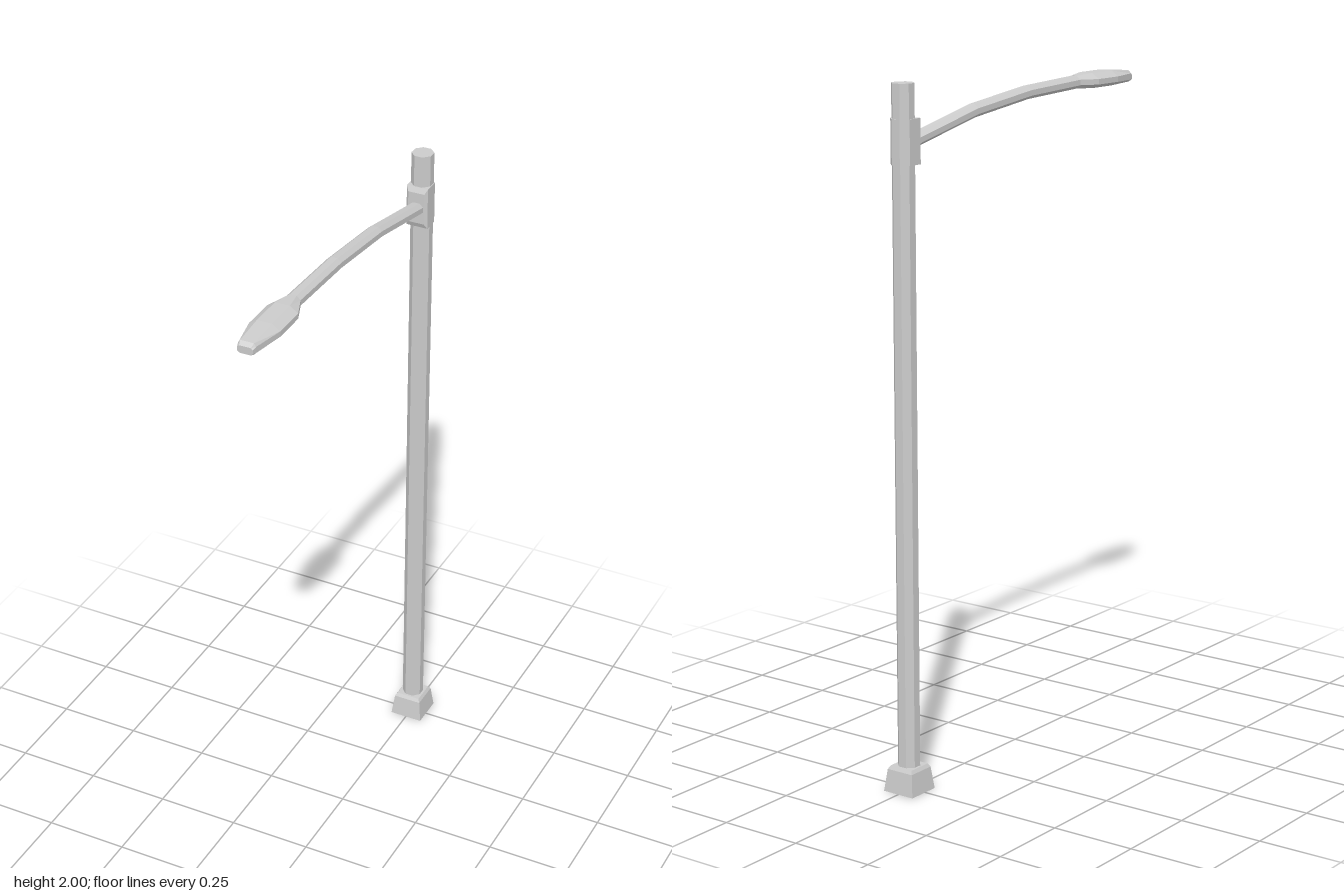
import * as THREE from 'three';

const POLE_Z = -0.507;
const material = new THREE.MeshStandardMaterial({ color: 0xcccccc, flatShading: true });

function addMesh(parent, name, geometry, x = 0, y = 0, z = 0) {
  const mesh = new THREE.Mesh(geometry, material);
  mesh.name = name;
  mesh.position.set(x, y, z);
  parent.add(mesh);
  return mesh;
}

// Prism or frustum with flat sides facing the axes; sizes are half widths.
function prism(sides, topHalf, bottomHalf, height) {
  const k = 1 / Math.cos(Math.PI / sides);
  return new THREE.CylinderGeometry(topHalf * k, bottomHalf * k, height, sides)
    .rotateY(Math.PI / sides)
    .translate(0, height / 2, 0);
}

// Eight-sided cross-section, anticlockwise seen from +z.
function section({ z, w, inner, bottom, low, high, top }) {
  return [[w, low], [w, high], [inner, top], [-inner, top],
    [-w, high], [-w, low], [-inner, bottom], [inner, bottom]]
    .map(([x, y]) => [x, y, z]);
}

// Skin over successive sections running toward +z, capped at both ends.
function loft(rings) {
  const pos = [];
  const n = rings[0].length;
  const tri = (a, b, c) => pos.push(...a, ...b, ...c);
  for (let i = 0; i < rings.length - 1; i++) {
    for (let j = 0; j < n; j++) {
      const k = (j + 1) % n;
      const [a, b, c, d] = [rings[i][j], rings[i][k], rings[i + 1][k], rings[i + 1][j]];
      tri(a, b, c);
      tri(a, c, d);
    }
  }
  const first = rings[0], last = rings[rings.length - 1];
  for (let j = 1; j < n - 1; j++) {
    tri(first[0], first[j + 1], first[j]);
    tri(last[0], last[j], last[j + 1]);
  }
  const geometry = new THREE.BufferGeometry();
  geometry.setAttribute('position', new THREE.Float32BufferAttribute(pos, 3));
  geometry.computeVertexNormals();
  return geometry;
}

export function createModel() {
  const group = new THREE.Group();
  group.name = 'streetLamp';

  // Tapered square foot with a bevelled top edge
  addMesh(group, 'base', prism(4, 0.043, 0.051, 0.065), 0, 0, POLE_Z);
  addMesh(group, 'baseBevel', prism(4, 0.037, 0.043, 0.01), 0, 0.065, POLE_Z);

  // Octagonal pole
  addMesh(group, 'pole', prism(8, 0.03, 0.03, 1.94), 0, 0.06, POLE_Z);

  // Sleeve round the pole with a bevelled bracket facing the arm
  addMesh(group, 'collar', prism(8, 0.033, 0.033, 0.125), 0, 1.78, POLE_Z);
  const bracket = [[-0.507, 0.033, 1.78, 1.905], [-0.474, 0.033, 1.78, 1.905],
    [-0.467, 0.025, 1.795, 1.89]]
    .map(([z, w, y0, y1]) => [[w, y0, z], [w, y1, z], [-w, y1, z], [-w, y0, z]]);
  addMesh(group, 'bracket', loft(bracket));

  // Arched octagonal arm: z and centre height of each section
  const arm = [[-0.48, 1.838], [-0.2, 1.895], [0.05, 1.922], [0.3, 1.93]]
    .map(([z, y]) => section({
      z, w: 0.022, inner: 0.01,
      bottom: y - 0.018, low: y - 0.008, high: y + 0.008, top: y + 0.018,
    }));
  addMesh(group, 'arm', loft(arm));

  // Lamp head, widening from the arm and tapering to a blunt tip
  const head = [
    { z: 0.29, w: 0.022, inner: 0.01, bottom: 1.912, low: 1.922, high: 1.938, top: 1.948 },
    { z: 0.35, w: 0.046, inner: 0.022, bottom: 1.908, low: 1.92, high: 1.936, top: 1.952 },
    { z: 0.45, w: 0.046, inner: 0.022, bottom: 1.907, low: 1.919, high: 1.935, top: 1.951 },
    { z: 0.545, w: 0.026, inner: 0.02, bottom: 1.91, low: 1.916, high: 1.934, top: 1.943 },
    { z: 0.557, w: 0.023, inner: 0.017, bottom: 1.912, low: 1.917, high: 1.929, top: 1.934 },
  ];
  addMesh(group, 'lampHead', loft(head.map(section)));

  return group;
}
